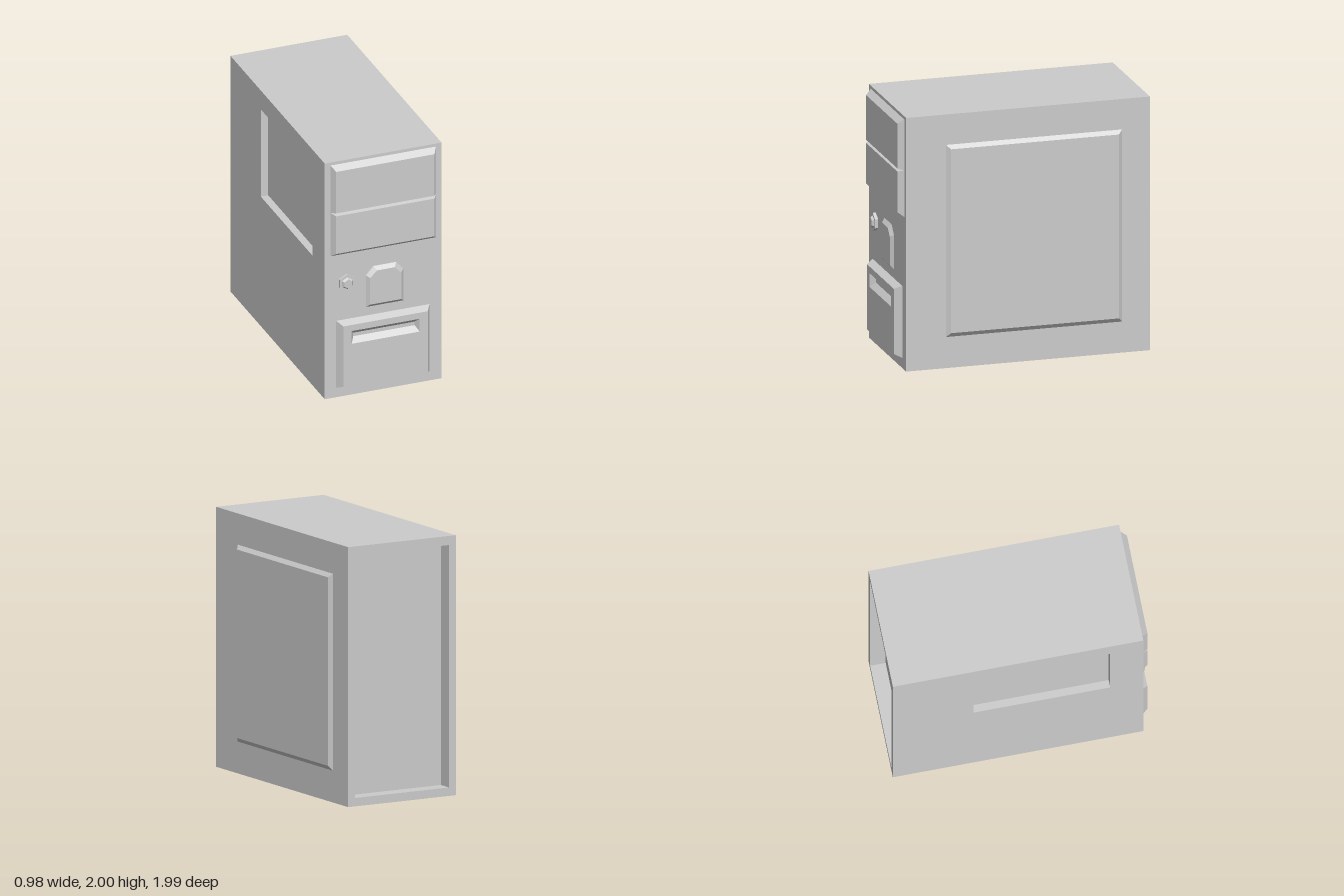
import * as THREE from 'three';
import { mergeGeometries } from 'three/addons/utils/BufferGeometryUtils.js';

const casing = new THREE.MeshStandardMaterial({ color: 0xcccccc });
casing.name = 'casingGrey';

// Counter-clockwise outlines as [x, y] pairs
const rect = (x0, x1, y0, y1) => [[x0, y0], [x1, y0], [x1, y1], [x0, y1]];
const hexagon = (cx, cy, r) => Array.from({ length: 6 }, (_, i) => {
  const a = Math.PI / 6 + i * Math.PI / 3;
  return [cx + r * Math.cos(a), cy + r * Math.sin(a)];
});
const toVectors = (pts) => pts.map(([x, y]) => new THREE.Vector2(x, y));

function makeShape(outline, hole) {
  const shape = new THREE.Shape(toVectors(outline));
  if (hole) shape.holes.push(new THREE.Path(toVectors(hole)));
  return shape;
}

// Flat-shaded band joining outline a at depth za to outline b at depth zb
function band(a, za, b, zb) {
  const pos = [];
  a.forEach((p, i) => {
    const j = (i + 1) % a.length;
    const q = [[...p, za], [...a[j], za], [...b[j], zb], [...b[i], zb]];
    for (const k of [0, 1, 2, 0, 2, 3]) pos.push(...q[k]);
  });
  const g = new THREE.BufferGeometry();
  g.setAttribute('position', new THREE.Float32BufferAttribute(pos, 3));
  g.computeVertexNormals();
  return g;
}

// Flat face at depth z, optionally with an opening
function cap(outline, z, hole) {
  const g = new THREE.ShapeGeometry(makeShape(outline, hole)).toNonIndexed();
  g.deleteAttribute('uv');
  return g.translate(0, 0, z);
}

function mesh(name, geometry) {
  const m = new THREE.Mesh(geometry, casing);
  m.name = name;
  return m;
}

// Raised panel with sloping edges
const raised = (name, outer, inner, height) =>
  mesh(name, mergeGeometries([band(outer, 0, inner, height), cap(inner, height)]));

// Wall plate with a rectangular opening
const frame = (name, outline, hole, depth) =>
  mesh(name, new THREE.ExtrudeGeometry(makeShape(outline, hole), { depth, bevelEnabled: false }));

export function createModel() {
  const model = new THREE.Group();
  model.name = 'computerTower';
  const L = -0.49, R = 0.46, H = 2, front = 0.935, back = -0.995;
  const backDepth = 0.12, sideDepth = 0.06;

  // Solid core behind the recessed back and left walls
  const x0 = L + sideDepth, z0 = back + backDepth;
  const core = mesh('caseCore', new THREE.BoxGeometry(R - x0, H, front - z0));
  core.position.set((x0 + R) / 2, H / 2, (z0 + front) / 2);
  model.add(core);

  // Back rim around the deep recess
  const rim = frame('backRim', rect(L, R, 0, H), rect(L + 0.06, R - 0.06, 0.065, H - 0.07), backDepth);
  rim.position.z = back;
  model.add(rim);

  // Left wall with its rectangular recess (shape x runs along -z)
  const wall = frame('leftWall', rect(-front, -z0, 0, H), rect(-0.68, 0.375, 1.1, 1.84), sideDepth);
  wall.rotation.y = Math.PI / 2;
  wall.position.x = L;
  model.add(wall);

  // Raised panel on the right side (shape x runs along -z)
  const side = raised('sidePanel', rect(-0.62, 0.775, 0.245, 1.76), rect(-0.587, 0.742, 0.28, 1.73), 0.027);
  side.rotation.y = Math.PI / 2;
  side.position.x = R;
  model.add(side);

  // Everything mounted on the front face
  const face = new THREE.Group();
  face.name = 'frontDetails';
  face.position.z = front;
  model.add(face);

  // Drive bay covers
  face.add(raised('upperBay', rect(-0.443, 0.413, 1.572, 1.975), rect(-0.415, 0.385, 1.585, 1.937), 0.046));
  face.add(raised('middleBay', rect(-0.443, 0.413, 1.205, 1.572), rect(-0.415, 0.385, 1.24, 1.56), 0.046));

  // Hexagonal power button on its base
  const hex = (r) => hexagon(-0.315, 0.965, r);
  face.add(raised('buttonBase', hex(0.07), hex(0.07), 0.025));
  const knob = raised('powerButton', hex(0.05), hex(0.037), 0.017);
  knob.position.z = 0.025;
  face.add(knob);

  // Badge plate with clipped upper corners
  face.add(raised('badgePlate',
    [[-0.155, 0.72], [0.15, 0.72], [0.15, 0.99], [0.09, 1.057], [-0.095, 1.057], [-0.155, 0.99]],
    [[-0.13, 0.747], [0.123, 0.747], [0.123, 0.972], [0.07, 1.027], [-0.075, 1.027], [-0.13, 0.972]],
    0.025));

  // Lower cover with a sunken slot
  const coverRim = rect(-0.36, 0.326, 0.107, 0.62);
  const slotRim = rect(-0.293, 0.26, 0.46, 0.568);
  const slotFloor = rect(-0.265, 0.235, 0.5, 0.53);
  face.add(mesh('lowerCover', mergeGeometries([
    band(rect(-0.397, 0.362, 0.08, 0.648), 0, coverRim, 0.056),
    cap(coverRim, 0.056, slotRim),
    band(slotRim, 0.056, slotFloor, 0.015),
    cap(slotFloor, 0.015),
  ])));

  return model;
}
